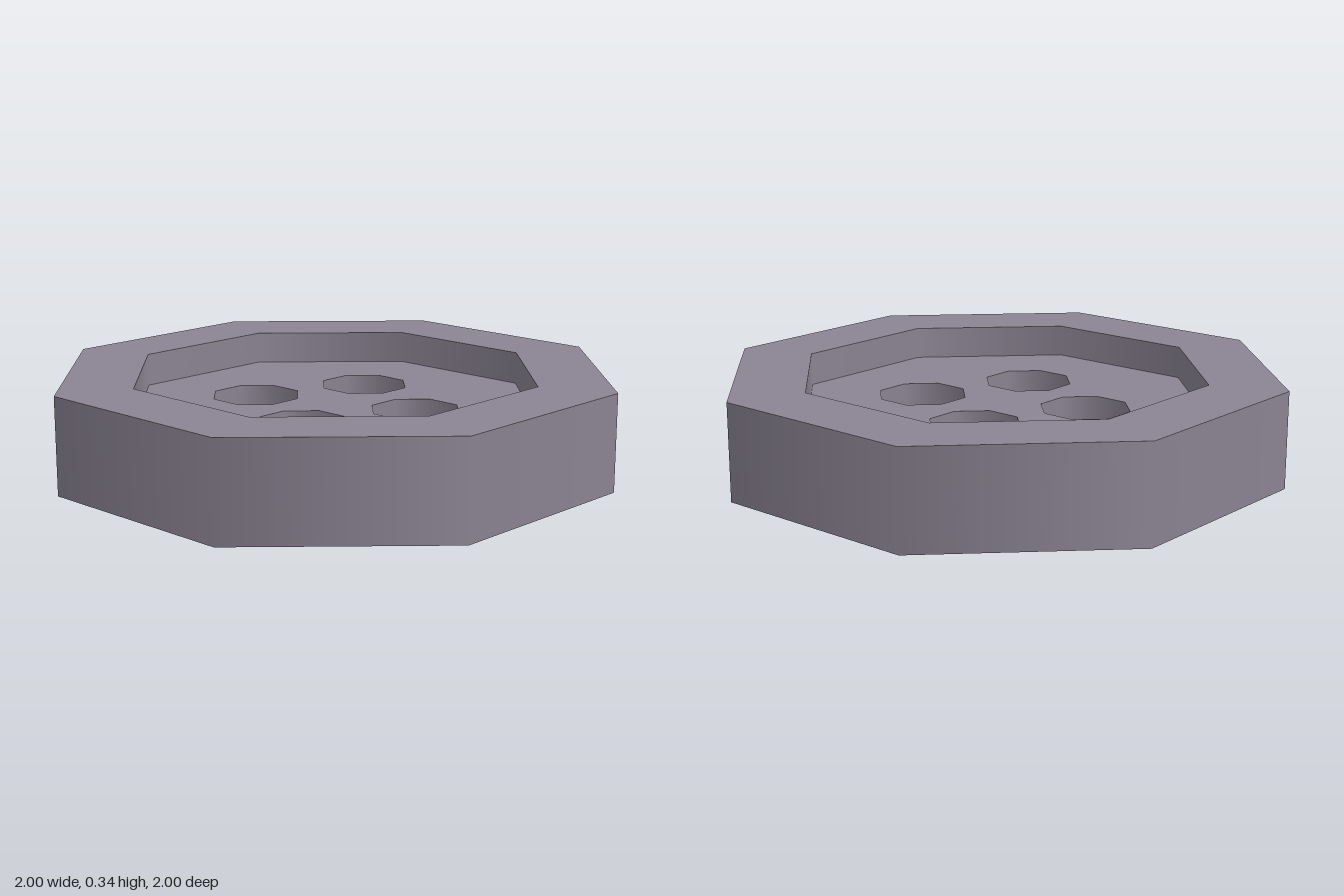
import * as THREE from 'three';

const SIDES = 8, OUTER = 1, INNER = 0.73, HOLE = 0.16, OFFSET = 0.2125;
const TOP = 0.34, FLOOR = 0.225;

// Eight-sided outline with corners on the axes
function octagon(radius, cx = 0, cy = 0, Type = THREE.Path) {
  const points = [];
  for (let i = 0; i < SIDES; i++) {
    const a = (i / SIDES) * Math.PI * 2;
    points.push(new THREE.Vector2(cx + radius * Math.cos(a), cy + radius * Math.sin(a)));
  }
  return new Type(points);
}

// Smooth-shaded wall: faces outward when it runs upward, inward when downward
function wall(radius, from, to) {
  return new THREE.LatheGeometry([new THREE.Vector2(radius, from), new THREE.Vector2(radius, to)], SIDES);
}

// Flat horizontal face with holes
function plate(radius, holes, y, facing) {
  const shape = octagon(radius, 0, 0, THREE.Shape);
  shape.holes.push(...holes);
  return new THREE.ShapeGeometry(shape).rotateX(-facing * Math.PI / 2).translate(0, y, 0);
}

export function createModel() {
  const model = new THREE.Group();
  model.name = 'button';
  const plastic = new THREE.MeshStandardMaterial({ color: 0x8c8594 });
  plastic.name = 'mauve grey plastic';

  const add = (name, geometry) => {
    const mesh = new THREE.Mesh(geometry, plastic);
    mesh.name = name;
    model.add(mesh);
    return mesh;
  };

  const centres = [];
  for (const x of [-OFFSET, OFFSET]) for (const z of [-OFFSET, OFFSET]) centres.push([x, z]);
  const threadHoles = () => centres.map(([x, z]) => octagon(HOLE, x, z));

  // Raised rim
  add('outerWall', wall(OUTER, 0, TOP));
  add('rimTop', plate(OUTER, [octagon(INNER)], TOP, 1));
  add('recessWall', wall(INNER, TOP, FLOOR));

  // Recessed floor and underside
  add('recessFloor', plate(INNER, threadHoles(), FLOOR, 1));
  add('underside', plate(OUTER, threadHoles(), 0, -1));

  // Four thread holes
  for (const [x, z] of centres) add('threadHole', wall(HOLE, FLOOR, 0)).position.set(x, 0, z);

  return model;
}
